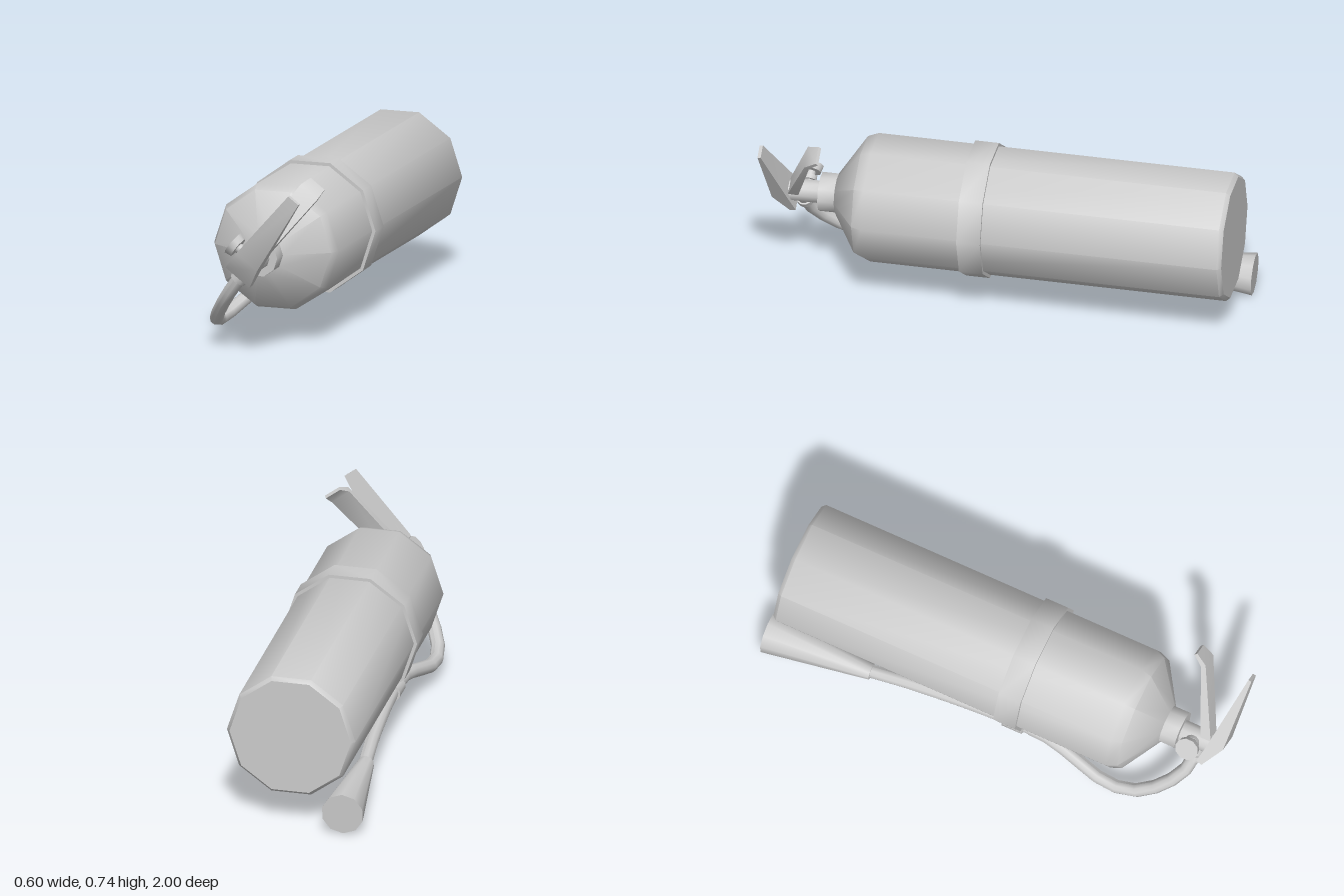
import * as THREE from 'three';
import { toCreasedNormals } from 'three/addons/utils/BufferGeometryUtils.js';

const material = new THREE.MeshStandardMaterial({ color: 0xcccccc });
const V = (x, y, z) => new THREE.Vector3(x, y, z);

function part(name, geometry, parent) {
  const mesh = new THREE.Mesh(toCreasedNormals(geometry, 0.72), material);
  mesh.name = name;
  parent.add(mesh);
  return mesh;
}

// Ten-sided turned part along z; profile is [radius, z] from back to front
function turned(profile, sides = 10) {
  const points = profile.map(([r, z]) => new THREE.Vector2(r, z));
  return new THREE.LatheGeometry(points, sides, Math.PI / 2).rotateX(Math.PI / 2);
}

// Straight round part between two points
function rod(from, to, r0, r1, sides = 10) {
  const d = to.clone().sub(from);
  const geo = new THREE.CylinderGeometry(r1, r0, d.length(), sides);
  geo.applyQuaternion(new THREE.Quaternion().setFromUnitVectors(V(0, 1, 0), d.clone().normalize()));
  const mid = from.clone().add(to).multiplyScalar(0.5);
  return geo.translate(mid.x, mid.y, mid.z);
}

// Bar with rectangular sections: [front y, front z, back y, back z, half width]
function bar(sections) {
  const pos = [], index = [];
  sections.forEach(([fy, fz, by, bz, w], i) => {
    pos.push(-w, fy, fz, w, fy, fz, w, by, bz, -w, by, bz);
    if (i === 0) return;
    const a = (i - 1) * 4, b = i * 4;
    for (let k = 0; k < 4; k++) {
      const n = (k + 1) % 4;
      index.push(a + k, a + n, b + n, a + k, b + n, b + k);
    }
  });
  const e = (sections.length - 1) * 4;
  index.push(0, 3, 2, 0, 2, 1, e, e + 1, e + 2, e, e + 2, e + 3);
  const geo = new THREE.BufferGeometry();
  geo.setAttribute('position', new THREE.Float32BufferAttribute(pos, 3));
  geo.setIndex(index);
  return geo;
}

export function createModel() {
  const model = new THREE.Group();
  model.name = 'fireExtinguisher';

  // Cylinder lying along z, with shoulder and neck
  const body = new THREE.Group();
  body.name = 'body';
  body.position.set(0.009, 0.4, 0);
  model.add(body);
  part('tank', turned([[0, -0.957], [0.258, -0.957], [0.273, -0.94], [0.273, 0.56],
    [0.255, 0.605], [0.085, 0.715], [0, 0.715]]), body);
  part('neck', turned([[0, 0.7], [0.083, 0.7], [0.083, 0.785], [0, 0.785]]), body);
  part('strap', turned([[0.26, 0.055], [0.287, 0.055], [0.287, 0.155], [0.26, 0.155]]), body);

  // Valve, handles and hose share a frame turned about the long axis
  const head = new THREE.Group();
  head.name = 'valveAndHose';
  head.position.set(0.01, 0.397, 0);
  head.rotation.z = -0.649;
  model.add(head);

  part('valveBody', turned([[0, 0.78], [0.048, 0.78], [0.048, 0.925], [0, 0.925]]), head);
  part('topLever', bar([
    [-0.075, 0.915, -0.065, 0.89, 0.066],
    [0.03, 0.98, 0.025, 0.912, 0.057],
    [0.38, 1.0, 0.383, 0.986, 0.028],
  ]), head);
  part('carryHandle', bar([
    [0.02, 0.92, 0, 0.88, 0.036],
    [0.376, 0.8, 0.362, 0.782, 0.047],
    [0.408, 0.75, 0.398, 0.74, 0.038],
  ]), head);

  // Pressure gauge on the side of the valve
  const gz = 0.845;
  part('gaugeStem', rod(V(0, 0, gz), V(-0.09, 0, gz), 0.022, 0.022), head);
  part('gaugeFlange', rod(V(-0.045, 0, gz), V(-0.065, 0, gz), 0.032, 0.032), head);
  part('gaugeDial', rod(V(-0.085, 0, gz), V(-0.115, 0, gz), 0.045, 0.051), head);

  // Hose outlet and collar
  part('hoseOutlet', rod(V(0, 0, 0.865), V(0, -0.08, 0.865), 0.03, 0.03), head);
  part('hoseCollar', rod(V(0, -0.073, 0.865), V(0, -0.1, 0.863), 0.037, 0.037), head);

  // Hose swings out, returns to the tank and runs back to the horn
  const path = [[-0.08, 0.865], [-0.14, 0.857], [-0.23, 0.815], [-0.32, 0.74], [-0.383, 0.64],
    [-0.385, 0.52], [-0.342, 0.39], [-0.304, 0.27], [-0.294, 0.1], [-0.3, -0.05],
    [-0.312, -0.2], [-0.33, -0.37], [-0.357, -0.545]];
  const curve = new THREE.CatmullRomCurve3(path.map(([y, z]) => V(0, y, z)));
  part('hose', new THREE.TubeGeometry(curve, 18, 0.029, 10), head);
  part('hoseClip', rod(V(0, -0.296, 0.06), V(0, -0.296, 0.15), 0.037, 0.037), head);

  // Discharge horn
  part('horn', rod(V(0, -0.383, -0.993), V(0, -0.357, -0.53), 0.089, 0.035), head);

  return model;
}
